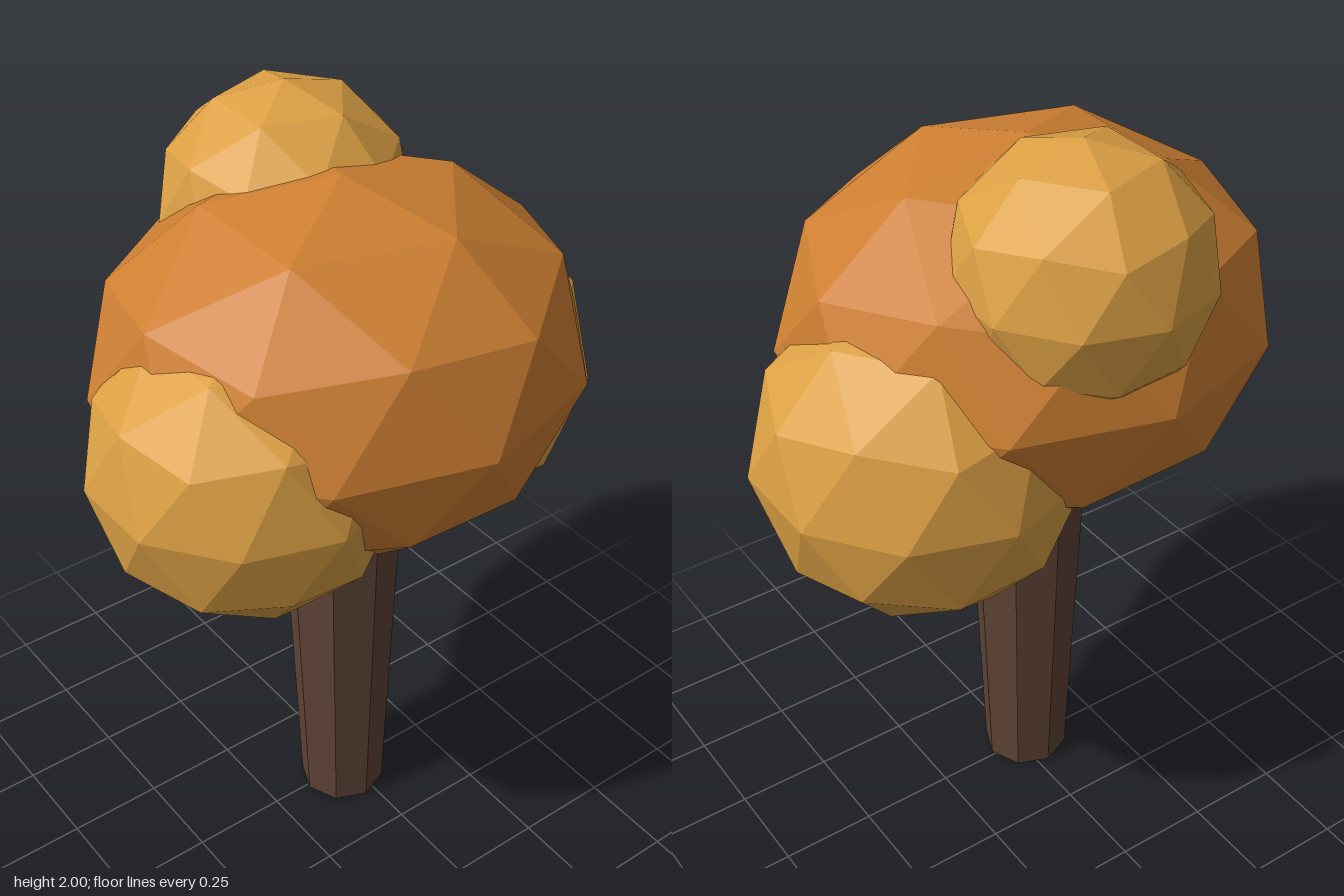
import * as THREE from 'three';

const flat = (color) => new THREE.MeshStandardMaterial({ color, flatShading: true });

export function createModel() {
  const tree = new THREE.Group();
  tree.name = 'tree';
  const bark = flat(0x5f4335);
  const orange = flat(0xcd7f32);
  const gold = flat(0xdca044);

  const add = (name, geometry, material) => {
    const mesh = new THREE.Mesh(geometry, material);
    mesh.name = name;
    tree.add(mesh);
    return mesh;
  };

  // Faceted foliage ball standing on one of its icosahedron corners
  const foliage = (name, material, center, radii) => {
    const geometry = new THREE.IcosahedronGeometry(1, 1);
    geometry.rotateZ(-Math.atan(2 / (1 + Math.sqrt(5))));
    geometry.scale(...radii);
    add(name, geometry, material).position.set(...center);
  };

  // Straight branch between two points
  const branch = (name, from, to) => {
    const a = new THREE.Vector3(...from);
    const b = new THREE.Vector3(...to);
    const dir = b.clone().sub(a);
    const mesh = add(name, new THREE.CylinderGeometry(0.05, 0.05, dir.length(), 6), bark);
    mesh.position.copy(a).add(b).multiplyScalar(0.5);
    mesh.quaternion.setFromUnitVectors(new THREE.Vector3(0, 1, 0), dir.normalize());
  };

  // Eight-sided trunk, slightly wider towards the top
  add('trunk', new THREE.CylinderGeometry(0.161, 0.114, 1.15, 8), bark).position.set(-0.03, 0.575, 0.012);

  // Branches reaching into the side foliage
  branch('rightBranch', [-0.03, 0.75, 0.01], [-0.33, 1.12, 0.06]);
  branch('leftBranch', [-0.03, 0.7, 0.01], [0.3, 1.03, 0.0]);

  // Foliage
  foliage('mainCrown', orange, [-0.03, 1.43, 0.012], [0.62, 0.46, 0.57]);
  foliage('rightFoliage', gold, [-0.37, 1.315, 0.107], [0.378, 0.378, 0.378]);
  foliage('leftFoliage', gold, [0.34, 1.225, -0.085], [0.405, 0.405, 0.405]);
  foliage('topFoliage', gold, [0.02, 1.685, -0.27], [0.315, 0.315, 0.315]);

  return tree;
}
